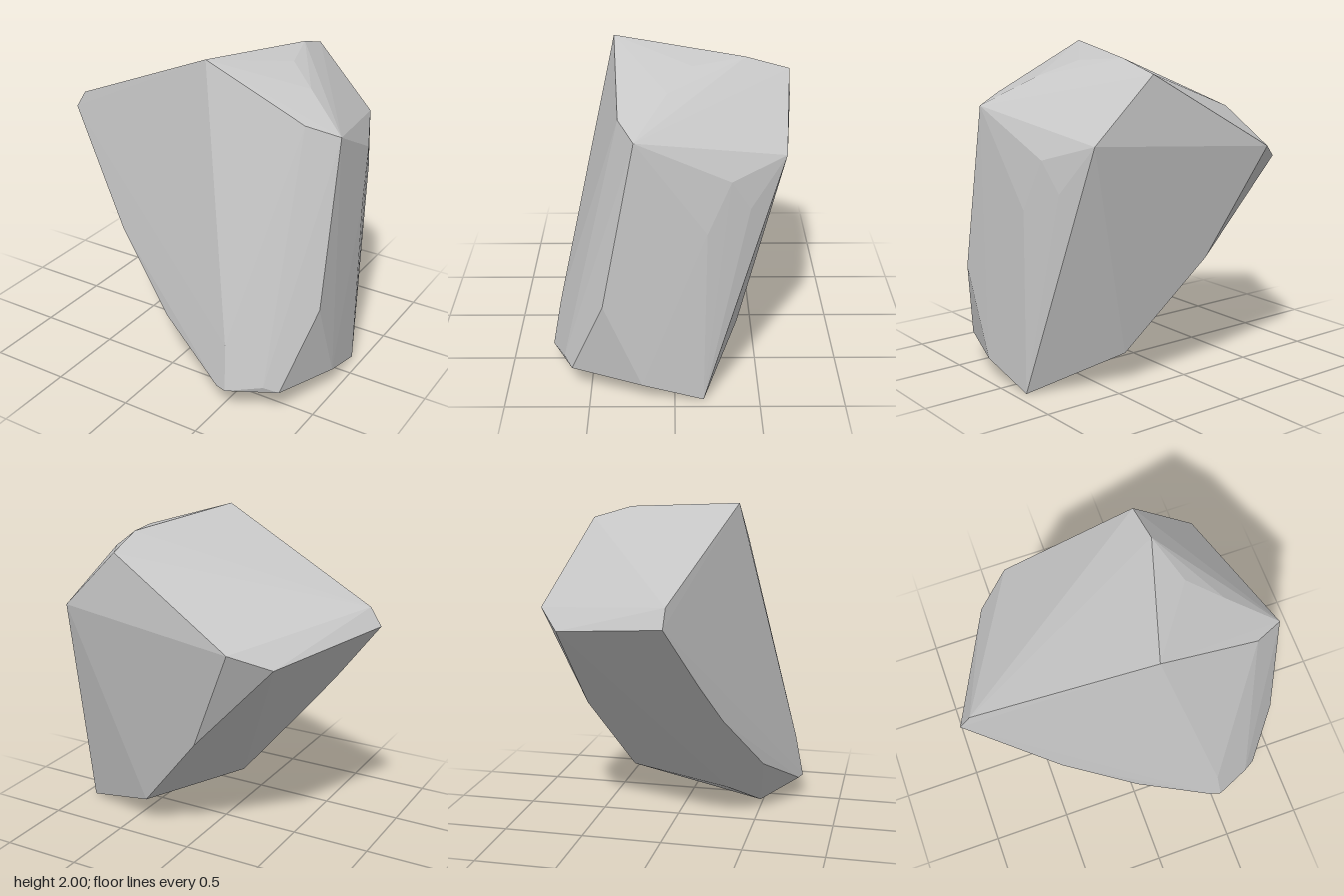
import * as THREE from 'three';
import { ConvexGeometry } from 'three/addons/geometries/ConvexGeometry.js';

export function createModel() {
  const group = new THREE.Group();
  group.name = 'boulder';
  const stone = new THREE.MeshStandardMaterial({ color: 0xc6c6c6 });
  stone.name = 'grey stone';

  // corners of the chipped stone, by region
  const top = [
    [0.16, 2.0, 0.35], [0.78, 1.72, 0.31], [0.96, 1.66, 0.22],
    [0.39, 1.945, -0.4], [0.37, 1.87, -0.65], [0.48, 1.92, -0.1], [0.67, 1.83, 0.04],
  ];
  const leftTip = [[-0.9, 1.53, 0.13], [-0.97, 1.42, 0.13], [-0.63, 1.31, -0.59]];
  const back = [[-0.42, 1.41, -0.75], [0.75, 1.5, -0.62], [-0.1, 0.74, -0.57]];
  const side = [
    [0.89, 1.4, -0.31], [0.85, 1.22, -0.42], [0.93, 1.1, -0.18],
    [0.97, 0.66, 0.41], [0.965, 0.125, 0.19],
  ];
  const front = [[-0.66, 1.03, 0.27], [-0.45, 0.78, 0.37], [0, 0.38, 0.55], [0.51, 0.42, 0.695]];
  const foot = [
    [0.47, 0.14, 0.725], [0.54, 0.14, 0.745], [0.75, 0.19, 0.66], [0.83, 0.155, 0.61],
    [0.32, 0.02, 0.49], [0.93, 0, -0.17], [0.04, 0.19, 0.32], [0.37, 0.19, -0.39],
  ];

  // faceted hull through all corners
  const corners = [top, leftTip, back, side, front, foot].flat();
  const rock = new THREE.Mesh(
    new ConvexGeometry(corners.map((c) => new THREE.Vector3(...c))), stone);
  rock.name = 'rock';
  group.add(rock);
  return group;
}
